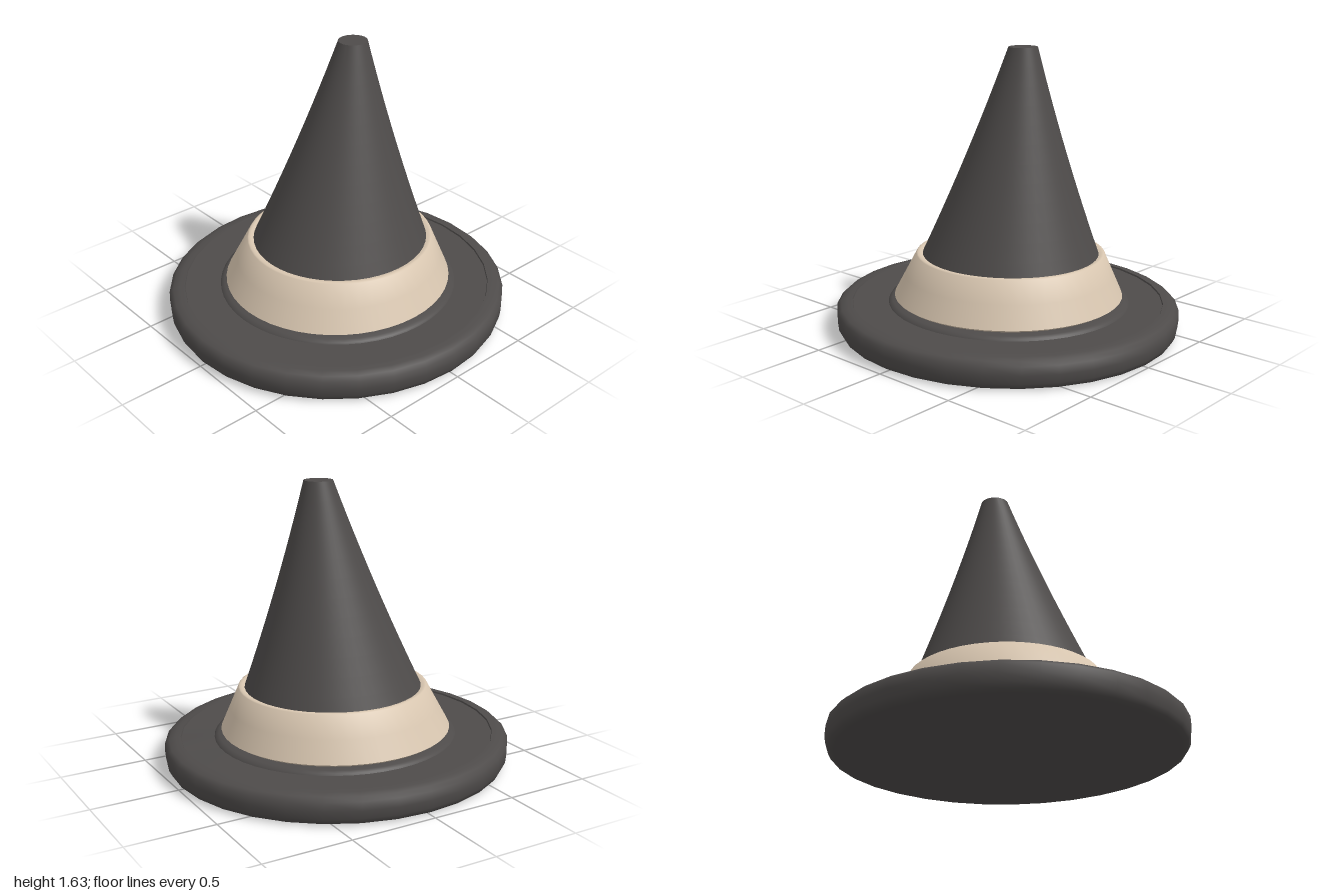
import * as THREE from 'three';
import { toCreasedNormals } from 'three/addons/utils/BufferGeometryUtils.js';

const SQUASH = 0.975; // the hat is slightly narrower than it is deep

// Lathe whose rings are squashed in x, leaned in z by height, and tilted
function leanLathe(points, segments, lean, tilt = 0) {
  const geo = new THREE.LatheGeometry(points.map(([r, y]) => new THREE.Vector2(r, y)), segments);
  const p = geo.attributes.position;
  for (let i = 0; i < p.count; i++) {
    const x = p.getX(i), y = p.getY(i), z = p.getZ(i);
    p.setXYZ(i, x * SQUASH, y + tilt * z, z + lean(y));
  }
  return toCreasedNormals(geo, 0.9);
}

export function createModel() {
  const felt = new THREE.MeshStandardMaterial({ color: 0x4e4b4a });
  felt.name = 'dark felt';
  const ribbon = new THREE.MeshStandardMaterial({ color: 0xd8c6b0 });
  ribbon.name = 'beige ribbon';

  const hat = new THREE.Group();
  hat.name = 'hat';
  const add = (name, geo, mat) => {
    const mesh = new THREE.Mesh(geo, mat);
    mesh.name = name;
    hat.add(mesh);
  };

  // Thick round brim: hollowed underside, rounded rim, small step down to the top
  add('brim', leanLathe([
    [0, 0.085], [0.3, 0.077], [0.55, 0.058], [0.75, 0.036], [0.88, 0.017],
    [0.95, 0.006], [0.98, 0.016], [0.995, 0.045], [1, 0.09],
    [0.998, 0.14], [0.975, 0.161], [0.94, 0.171], [0.908, 0.174],
    [0.905, 0.165], [0.65, 0.165],
  ], 32, () => 0, 0.005), felt);

  // Low flare where the crown meets the brim
  add('crownFlare', leanLathe([
    [0.705, 0.163], [0.698, 0.174], [0.68, 0.184], [0.64, 0.191], [0.6, 0.193],
  ], 48, () => -0.01, 0.003), felt);

  // Sloping band around the foot of the crown, softly rounded at the top
  add('band', leanLathe([
    [0.6, 0.188], [0.645, 0.191], [0.666, 0.205], [0.605, 0.33], [0.547, 0.45],
    [0.54, 0.455], [0.525, 0.455], [0.5, 0.445],
  ], 48, (y) => -0.008 - 0.07 * (y - 0.2)), ribbon);

  // Slightly hollow cone leaning backwards, with a flat tip
  const cone = [];
  for (let i = 0; i <= 12; i++) {
    const t = 0.09 + 0.91 * i / 12;
    cone.push([0.573 - 0.491 * t - 0.075 * t * (1 - t), 0.3 + 1.333 * t]);
  }
  cone.push([0, 1.633]);
  add('crown', leanLathe(cone, 48, (y) => -0.026 - 0.077 * (y - 0.45)), felt);

  return hat;
}
